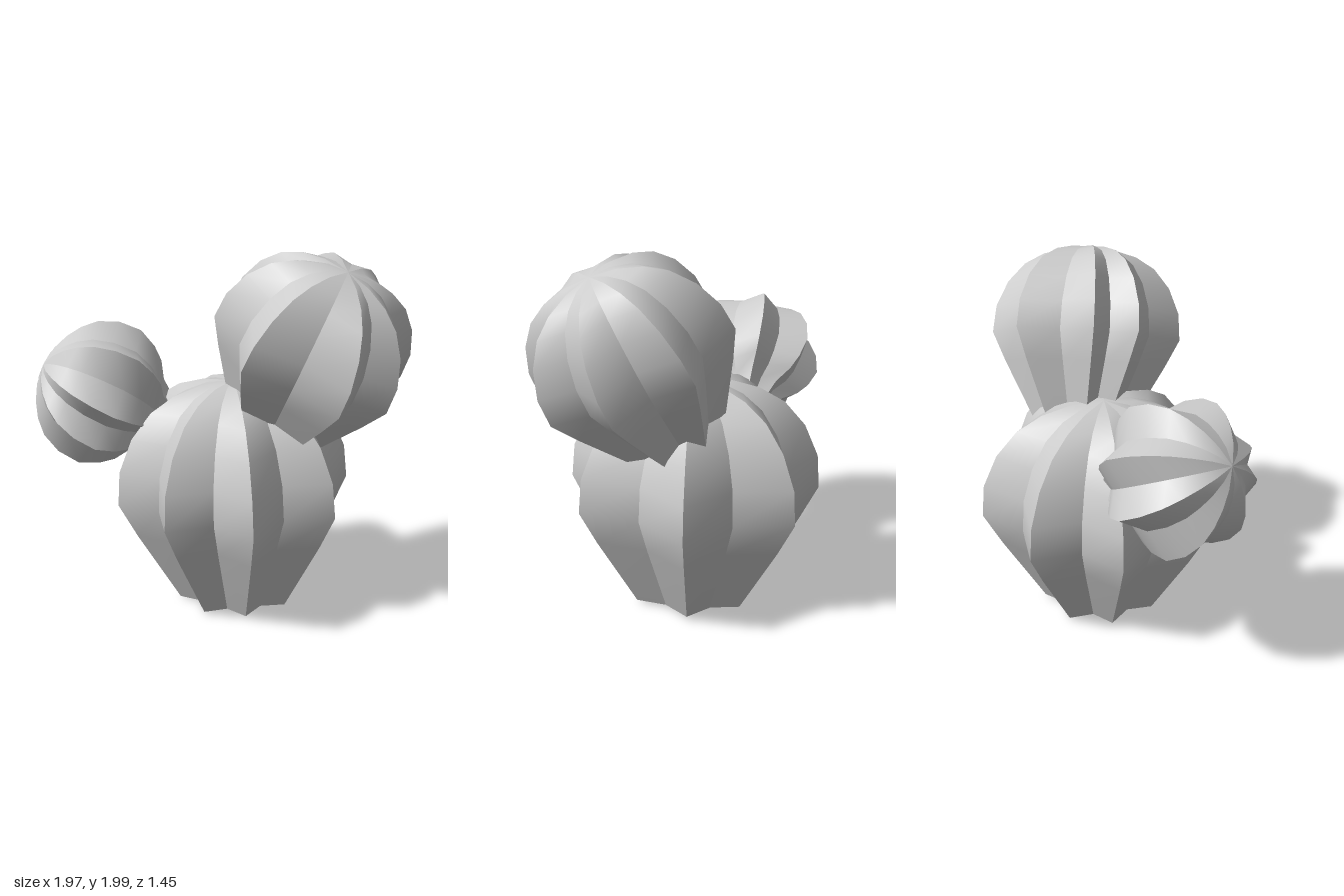
import * as THREE from 'three';
import { mergeGeometries } from 'three/addons/utils/BufferGeometryUtils.js';

// Ridge profiles, from open rim to pole: [radius, height]
const TALL = [
  [0.35, 0], [0.585, 0.42], [0.685, 0.62], [0.668, 0.81], [0.59, 0.99],
  [0.475, 1.125], [0.34, 1.205], [0.18, 1.25], [0, 1.26],
];
const ROUND = [
  [0.15, 0], [0.22, 0.1], [0.31, 0.16], [0.365, 0.23], [0.412, 0.34],
  [0.4, 0.47], [0.35, 0.58], [0.28, 0.65], [0.2, 0.7], [0.11, 0.735], [0, 0.75],
];
const VALLEY = 0.77; // valley radius relative to the ridge

const material = new THREE.MeshStandardMaterial({ color: 0xcccccc, side: THREE.DoubleSide });

// One rib face: smooth lengthwise, creased along both long edges
function ribFace(profile, a0, k0, a1, k1) {
  const positions = [], index = [];
  profile.forEach(([r, y], i) => {
    positions.push(r * k0 * Math.cos(a0), y, r * k0 * Math.sin(a0));
    positions.push(r * k1 * Math.cos(a1), y, r * k1 * Math.sin(a1));
    if (i === 0) return;
    const b = 2 * (i - 1);
    index.push(b, b + 2, b + 1);
    if (i < profile.length - 1) index.push(b + 1, b + 2, b + 3);
  });
  const g = new THREE.BufferGeometry();
  g.setAttribute('position', new THREE.Float32BufferAttribute(positions, 3));
  g.setIndex(index);
  g.computeVertexNormals();
  return g;
}

// Ribbed lobe with ridges at the given angles (degrees, ascending), open at its base
function lobe(name, profile, ridges, size, base, axis) {
  const faces = [];
  ridges.forEach((deg, i) => {
    const next = i + 1 < ridges.length ? ridges[i + 1] : ridges[0] + 360;
    const a = THREE.MathUtils.degToRad(deg);
    const b = THREE.MathUtils.degToRad(next);
    const mid = (a + b) / 2;
    faces.push(ribFace(profile, a, 1, mid, VALLEY), ribFace(profile, mid, VALLEY, b, 1));
  });
  const mesh = new THREE.Mesh(mergeGeometries(faces).scale(...size), material);
  mesh.name = name;
  mesh.position.set(...base);
  mesh.quaternion.setFromUnitVectors(
    new THREE.Vector3(0, 1, 0), new THREE.Vector3(...axis).normalize());
  return mesh;
}

export function createModel() {
  const group = new THREE.Group();
  group.name = 'cactus';
  group.add(
    // Large body standing on the ground
    lobe('body', TALL, [-143, -101, -56, -4, 50, 93, 133, 172], [0.985, 1, 1.025],
      [0.13, 0.01, -0.023], [-0.025, 1, -0.01]),
    // Upper lobe leaning forward and to the left
    lobe('upperLobe', TALL, [-165, -138, -90, -43, 4, 49, 84, 143], [0.775, 0.785, 0.775],
      [0.33, 1.035, 0.025], [0.27, 0.89, 0.37]),
    // Small lobe growing out of the right side
    lobe('sideLobe', ROUND, [42, 90, 122, 166, 213, 262, 303, 347], [1, 1, 1],
      [-0.265, 0.98, -0.26], [-0.875, 0.485, 0]),
  );
  return group;
}
